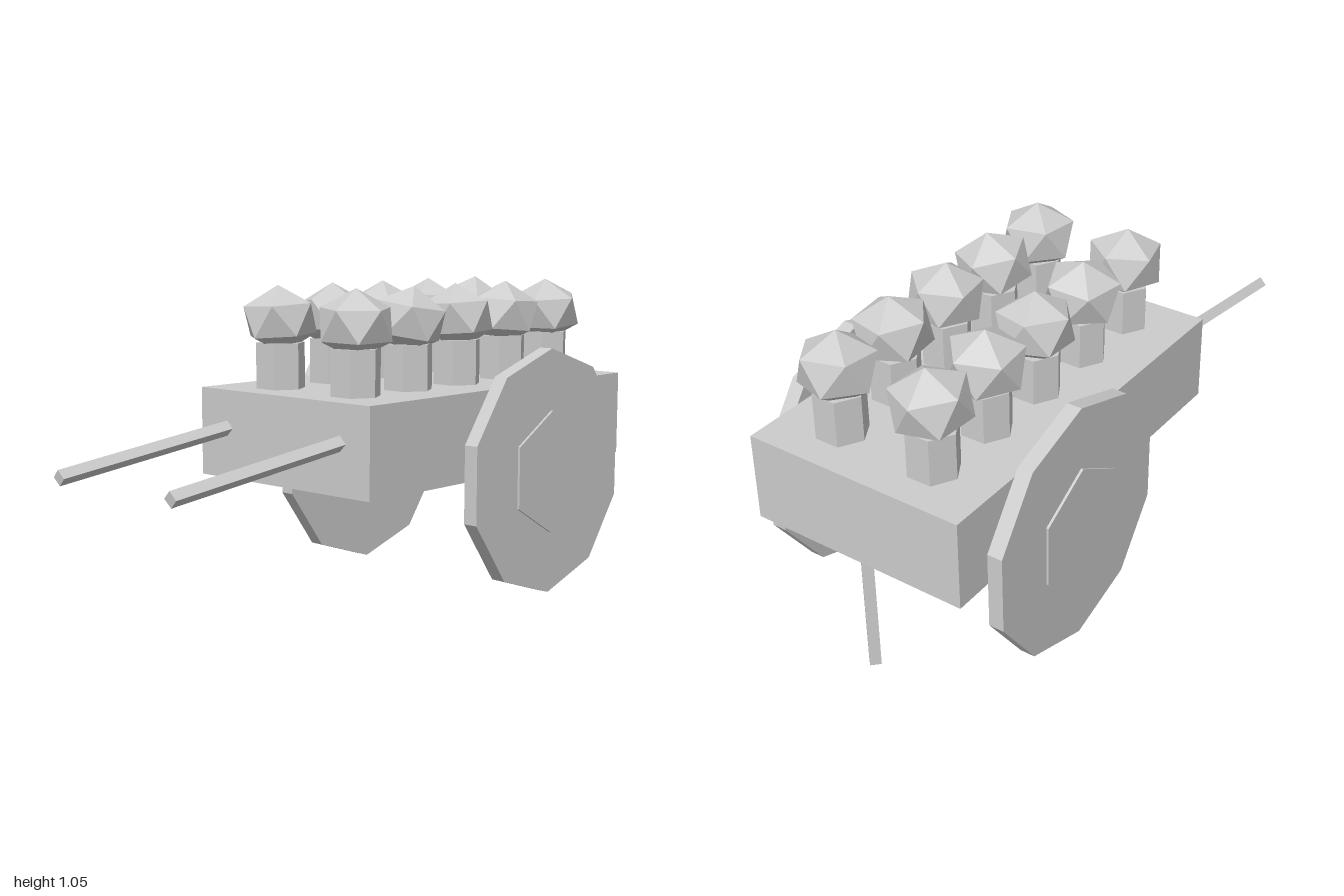
import * as THREE from 'three';

export function createModel() {
  const model = new THREE.Group();
  const grey = new THREE.MeshStandardMaterial({ color: 0xcccccc });
  grey.name = 'plainGrey';

  const add = (name, geometry, x, y, z) => {
    const flat = geometry.index ? geometry.toNonIndexed() : geometry;
    flat.computeVertexNormals(); // faceted look
    const mesh = new THREE.Mesh(flat, grey);
    mesh.name = name;
    mesh.position.set(x, y, z);
    model.add(mesh);
    return mesh;
  };

  // Cart bed and its rear prop (diamond section)
  add('cartBed', new THREE.BoxGeometry(1.33, 0.29, 0.75), 0.335, 0.565, 0);
  add('supportLeg', new THREE.CylinderGeometry(0.025, 0.025, 0.5, 4), 0.955, 0.25, 0);

  // Ten-sided wheels with hexagonal hubs, and sloping handles
  for (const [side, s] of [['left', 1], ['right', -1]]) {
    const disc = (r, depth, sides) =>
      new THREE.CylinderGeometry(r, r, depth, sides).rotateX(-Math.PI / 2);
    add(side + 'Wheel', disc(0.415, 0.05, 10), 0.497, 0.418, s * 0.416);
    add(side + 'Hub', disc(0.207, 0.064, 6), 0.497, 0.418, s * 0.417);

    const handle = new THREE.CylinderGeometry(0.025, 0.025, 0.85, 4).rotateZ(-Math.PI / 2);
    add(side + 'Handle', handle, -0.578, 0.555, s * 0.252).rotation.z = 0.119;
  }

  // Two rows of hexagonal stems with squashed faceted heads: [yaw, tiltX, tiltZ]
  const turns = [
    [[0.2, 0.03, 0.02], [0.75, 0.12, -0.12], [0.5, -0.06, 0.03], [1.0, 0.05, -0.06], [0.3, 0.04, 0.09]],
    [[0.6, -0.04, 0.05], [0.1, -0.1, -0.08], [0.95, 0.06, 0.06], [0.4, -0.05, -0.04], [0.8, 0.08, -0.08]],
  ];
  turns.forEach((row, r) => row.forEach(([yaw, tiltX, tiltZ], i) => {
    const x = -0.168 + i * 0.25;
    const z = r === 0 ? 0.168 : -0.168;
    add('stem', new THREE.CylinderGeometry(0.082, 0.082, 0.17, 6), x, 0.775, z);
    const head = new THREE.IcosahedronGeometry(0.131, 0)
      .rotateZ(Math.atan(2 / (1 + Math.sqrt(5)))) // one corner straight up
      .rotateY(yaw)
      .scale(1, 0.86, 1)
      .rotateX(tiltX)
      .rotateZ(tiltZ);
    add('head', head, x, 0.934, z);
  }));

  return model;
}
